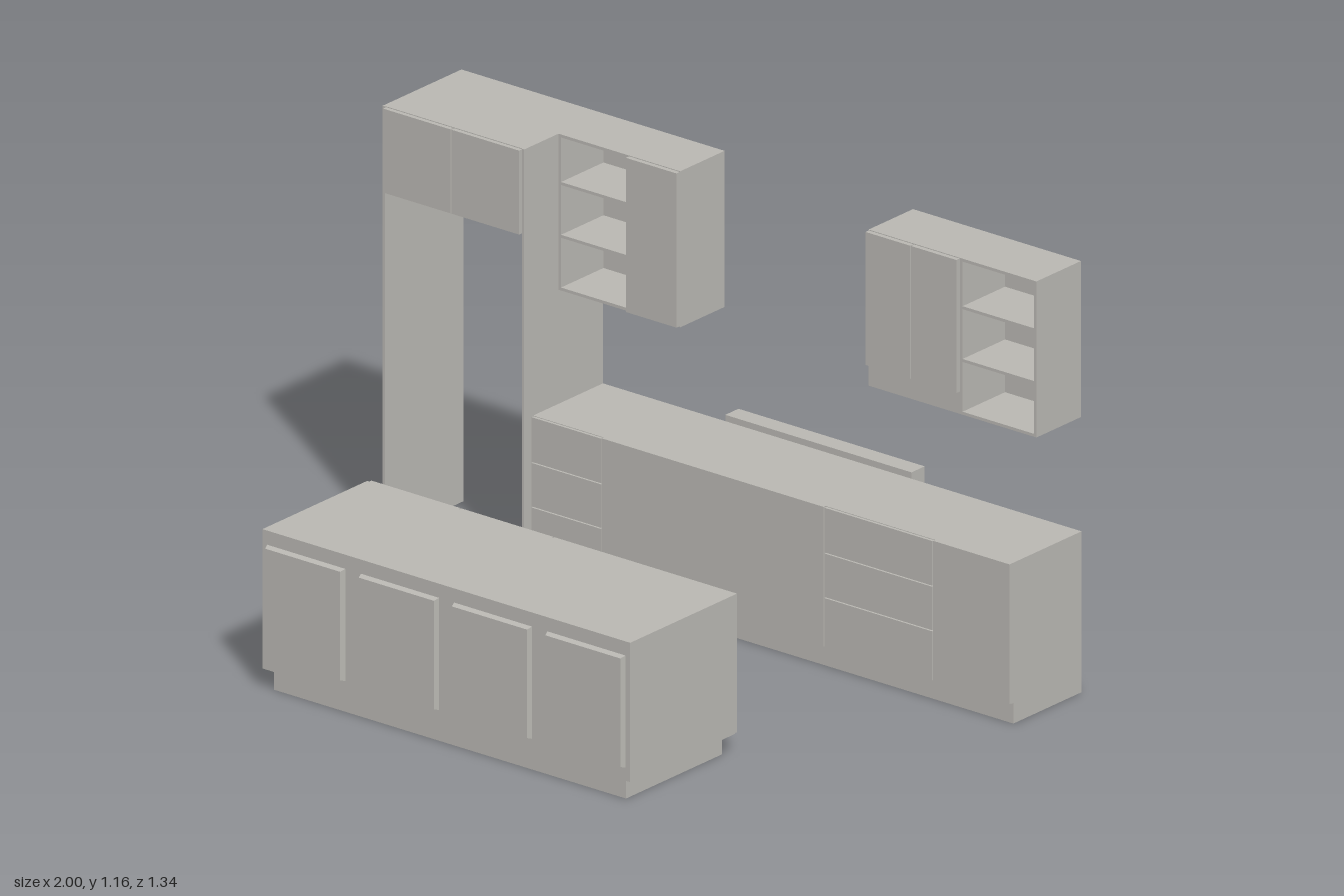
import * as THREE from 'three';

const paint = new THREE.MeshStandardMaterial({ color: 0xb8b6b1 });
paint.name = 'warm grey';

// Box given by its limits on each axis
function slab(parent, name, x0, x1, y0, y1, z0, z1) {
  const mesh = new THREE.Mesh(new THREE.BoxGeometry(x1 - x0, y1 - y0, z1 - z0), paint);
  mesh.position.set((x0 + x1) / 2, (y0 + y1) / 2, (z0 + z1) / 2);
  mesh.name = name;
  parent.add(mesh);
  return mesh;
}

// Raised door whose front face is slightly smaller than its back
function bevelledDoor(parent, name, x0, x1, y0, y1, z0, z1, inset) {
  const mesh = slab(parent, name, x0, x1, y0, y1, z0, z1);
  const p = mesh.geometry.attributes.position;
  for (let i = 0; i < p.count; i++) {
    if (p.getZ(i) > 0) {
      p.setX(i, p.getX(i) - Math.sign(p.getX(i)) * inset);
      p.setY(i, p.getY(i) - Math.sign(p.getY(i)) * inset);
    }
  }
  mesh.geometry.computeVertexNormals();
}

function section(parent, name) {
  const g = new THREE.Group();
  g.name = name;
  parent.add(g);
  return g;
}

const BACK = -0.62, TOP = 1.16;

// Open cabinet with two shelves
function openShelves(parent, x0, x1) {
  const y0 = 0.74, z1 = -0.445, t = 0.008;
  slab(parent, 'shelfBack', x0, x1, y0, TOP, BACK, BACK + t);
  slab(parent, 'shelfSide', x0, x0 + t, y0, TOP, BACK + t, z1);
  slab(parent, 'shelfSide', x1 - t, x1, y0, TOP, BACK + t, z1);
  for (const y of [y0, 0.882, 1.024, TOP - t])
    slab(parent, 'shelf', x0 + t, x1 - t, y, y + t, BACK + t, z1);
}

export function createModel() {
  const kitchen = new THREE.Group();
  kitchen.name = 'kitchen';

  // Tall surround with bridging cabinet
  const tall = section(kitchen, 'tallSurround');
  for (const x of [-1, -0.551])
    slab(tall, 'tallSidePanel', x, x + 0.007, 0, TOP, BACK, -0.31);
  slab(tall, 'bridgeCabinet', -0.993, -0.551, 0.932, TOP, BACK, -0.312);
  slab(tall, 'bridgeDoor', -0.99, -0.774, 0.932, TOP - 0.002, -0.312, -0.3);
  slab(tall, 'bridgeDoor', -0.77, -0.552, 0.932, TOP - 0.002, -0.312, -0.3);

  // Wall cabinet beside the surround
  const wallA = section(kitchen, 'rightWallCabinet');
  openShelves(wallA, -0.544, -0.318);
  slab(wallA, 'wallCabinetBody', -0.318, -0.152, 0.74, TOP, BACK, -0.445);
  slab(wallA, 'wallCabinetDoor', -0.316, -0.153, 0.743, TOP - 0.002, -0.445, -0.432);

  // Wall cabinet on the far side
  const wallB = section(kitchen, 'leftWallCabinet');
  slab(wallB, 'wallCabinetBody', 0.455, 0.75, 0.74, TOP, BACK, -0.445);
  slab(wallB, 'wallCabinetDoor', 0.456, 0.6, 0.8, TOP - 0.002, -0.445, -0.432);
  slab(wallB, 'wallCabinetDoor', 0.603, 0.749, 0.8, TOP - 0.002, -0.445, -0.432);
  openShelves(wallB, 0.75, 0.996);

  // Base run with drawers and doors
  const base = section(kitchen, 'baseCabinets');
  const x0 = -0.544, x1 = 0.998;
  slab(base, 'baseBody', x0, x1, 0.055, 0.433, BACK, -0.345);
  slab(base, 'basePlinth', x0, x1, 0, 0.055, BACK, -0.352);
  const gap = 0.0015;
  for (const [a, b] of [[x0, -0.317], [0.4, 0.75]]) {
    for (const [c, d] of [[0.055, 0.19], [0.19, 0.31], [0.31, 0.433]])
      slab(base, 'drawerFront', a + gap, b - gap, c + gap, d - gap, -0.345, -0.337);
  }
  slab(base, 'middleFront', -0.317, 0.4 - gap, 0.057, 0.433, -0.345, -0.337);
  slab(base, 'endDoor', 0.75 + gap, x1, 0.057, 0.433, -0.345, -0.337);
  slab(base, 'applianceBack', -0.15, 0.45, 0.025, 0.45, -0.672, BACK);

  // Island with raised front doors and flat rear doors
  const island = section(kitchen, 'island');
  slab(island, 'islandBody', -0.595, 0.59, 0.055, 0.43, 0.245, 0.657);
  slab(island, 'islandPlinth', -0.57, 0.565, 0, 0.055, 0.265, 0.643);
  for (const x of [-0.58, -0.278, 0.022, 0.323])
    bevelledDoor(island, 'islandFrontDoor', x, x + 0.252, 0.09, 0.392, 0.657, 0.671, 0.005);
  for (const [a, b] of [[-0.593, -0.303], [-0.303, -0.002], [-0.002, 0.588]])
    slab(island, 'islandRearDoor', a + gap, b - gap, 0.055, 0.428, 0.233, 0.245);

  return kitchen;
}
